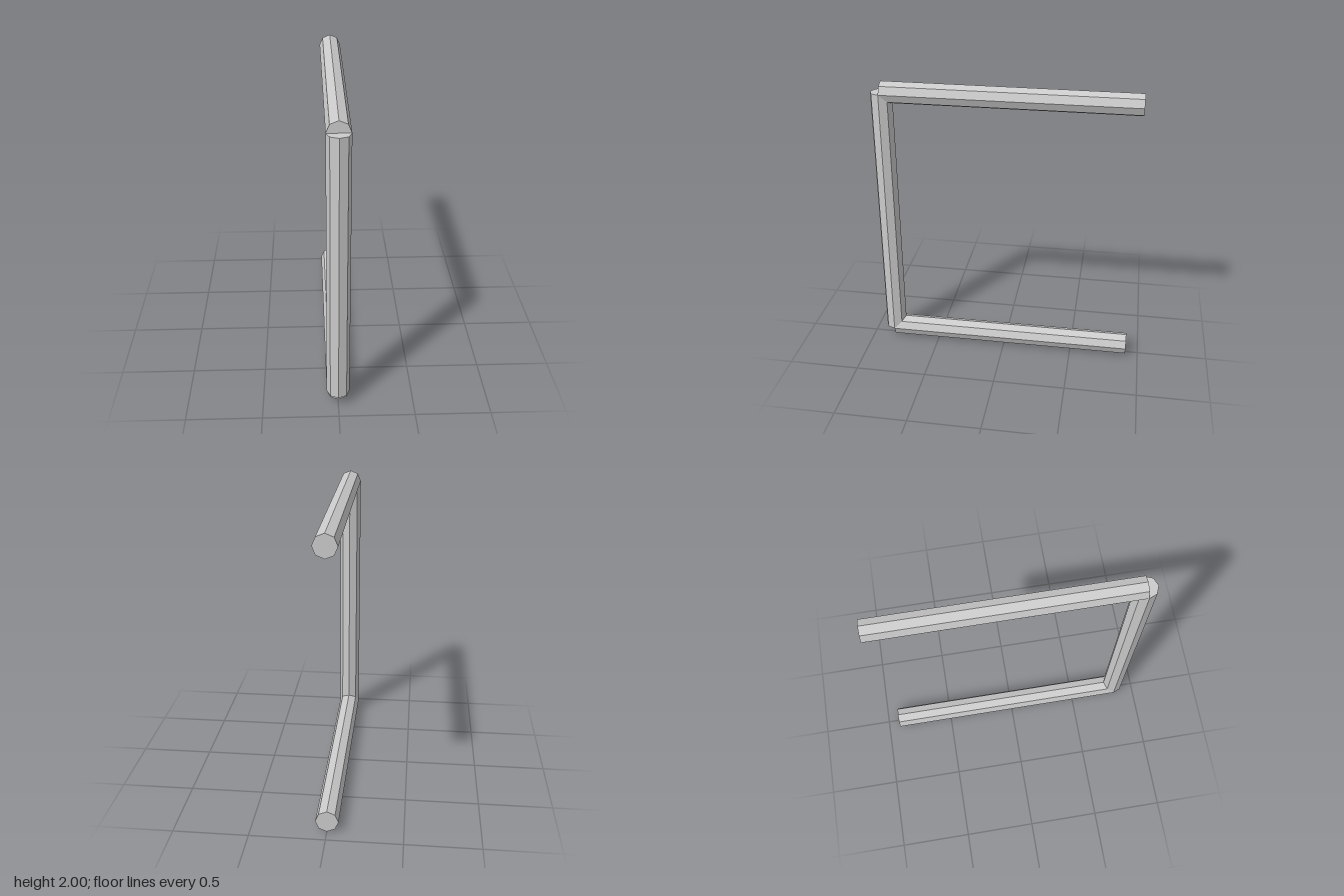
import * as THREE from 'three';

const R = 0.076;        // bar radius
const BACK = -0.91;     // open ends of the arms
const FRONT = 0.91 - R; // centre line of the upright
const LOW = R, HIGH = 2 - R;

export function createModel() {
  const group = new THREE.Group();
  const material = new THREE.MeshStandardMaterial({ color: 0xcccccc, flatShading: true });

  // Eight-sided bar with flat capped ends
  const bar = (name, length) => {
    const mesh = new THREE.Mesh(new THREE.CylinderGeometry(R, R, length, 8), material);
    mesh.name = name;
    group.add(mesh);
    return mesh;
  };

  // Upright grip between the arm centre lines
  bar('gripBar', HIGH - LOW).position.set(0, (LOW + HIGH) / 2, FRONT);

  // Two arms running back from the grip
  for (const [name, y] of [['lowerArm', LOW], ['upperArm', HIGH]]) {
    const arm = bar(name, FRONT - BACK);
    arm.rotation.x = Math.PI / 2;
    arm.position.set(0, y, (FRONT + BACK) / 2);
  }
  return group;
}
